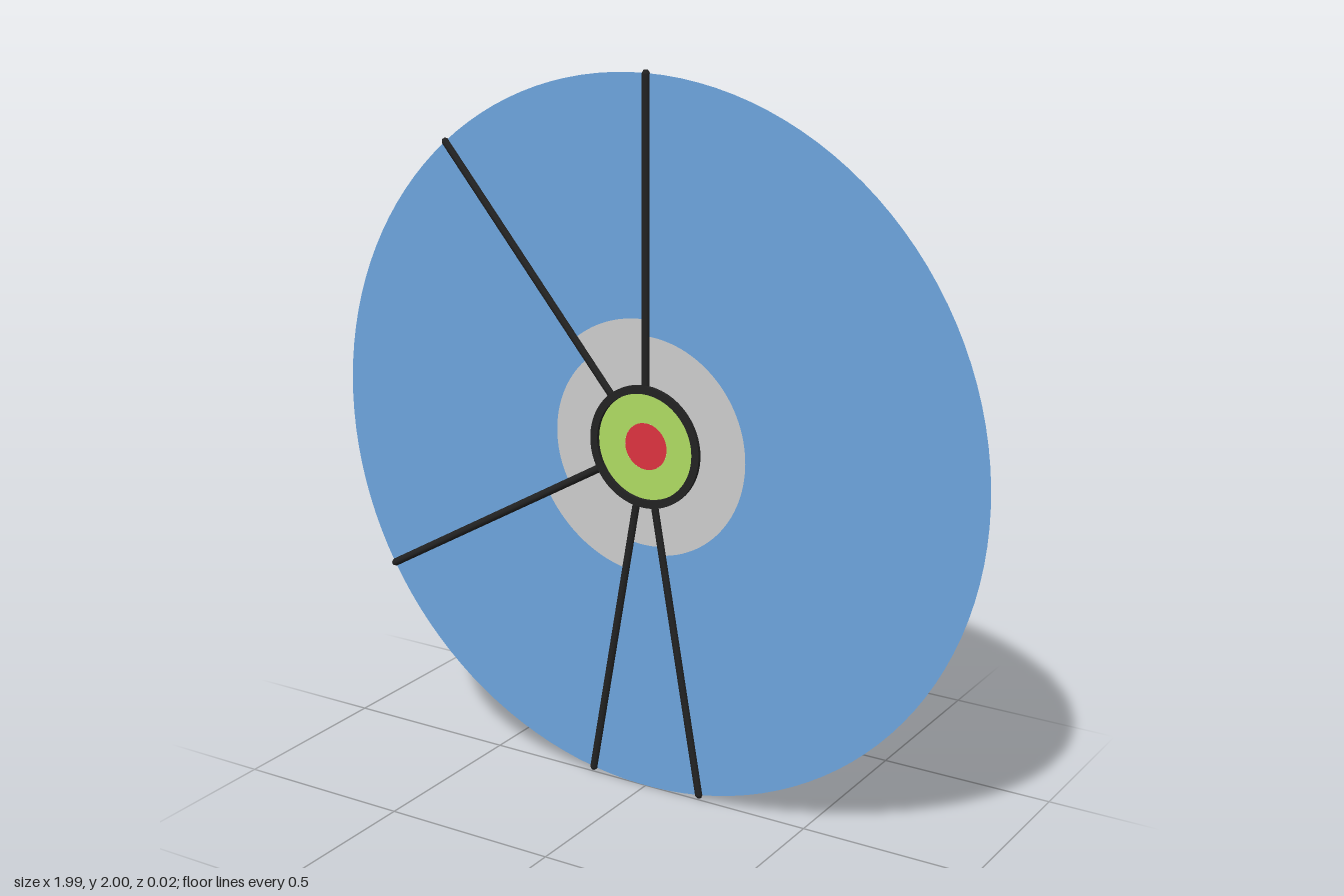
import * as THREE from 'three';

const DISC_R = 0.996, HUB_R = 0.167, BAR = 0.011;
const rad = THREE.MathUtils.degToRad;
const material = (color) => new THREE.MeshStandardMaterial({ color, side: THREE.DoubleSide });

export function createModel() {
  const model = new THREE.Group();
  const wheel = new THREE.Group();
  wheel.name = 'dividedDisc';
  wheel.position.y = DISC_R;
  model.add(wheel);

  const blue = material(0x6ca4dc), grey = material(0xcccccc);
  const green = material(0xaedb62), red = material(0xdc3340), black = material(0x222222);

  const add = (name, geometry, mat) => {
    const mesh = new THREE.Mesh(geometry, mat);
    mesh.name = name;
    wheel.add(mesh);
    return mesh;
  };

  // Sectors: start angle, end angle, radius of the grey inner band
  const sectors = [
    [-80, 90, 0.305],
    [90, 130, 0.35],
    [130, 210, 0.285],
    [210, 260, 0.365],
    [260, 280, 0.28],
  ];
  sectors.forEach(([from, to, bandR], i) => {
    const start = rad(from), sweep = rad(to - from);
    const steps = Math.ceil((to - from) / 3);
    add(`innerBand${i + 1}`, new THREE.RingGeometry(HUB_R, bandR, steps, 1, start, sweep), grey);
    add(`outerSector${i + 1}`, new THREE.RingGeometry(bandR, DISC_R, steps, 1, start, sweep), blue);

    // Divider bar along the end of each sector, with small pointed tip
    const length = 1.0 - HUB_R + 0.01;
    const bar = new THREE.CylinderGeometry(BAR, BAR, length, 8);
    bar.translate(0, HUB_R - 0.01 + length / 2 - 0.004, 0);
    const tip = new THREE.CylinderGeometry(BAR * 0.55, BAR, 0.008, 8);
    tip.translate(0, 1.0, 0);
    add(`divider${i + 1}`, bar, black).rotation.z = rad(to - 90);
    add(`dividerTip${i + 1}`, tip, black).rotation.z = rad(to - 90);
  });

  // Hub: green band around a red centre
  add('hubBand', new THREE.RingGeometry(0.065, HUB_R, 72), green);
  add('hubCentre', new THREE.CircleGeometry(0.065, 48), red);

  // Raised rim on the front of the hub
  const rim = new THREE.Shape().absarc(0, 0, 0.17, 0, Math.PI * 2);
  rim.holes.push(new THREE.Path().absarc(0, 0, 0.148, 0, Math.PI * 2, true));
  add('hubRim', new THREE.ExtrudeGeometry(rim, {
    depth: 0.0105, bevelEnabled: false, curveSegments: 64,
  }), black).position.z = 0.0005;

  return model;
}
